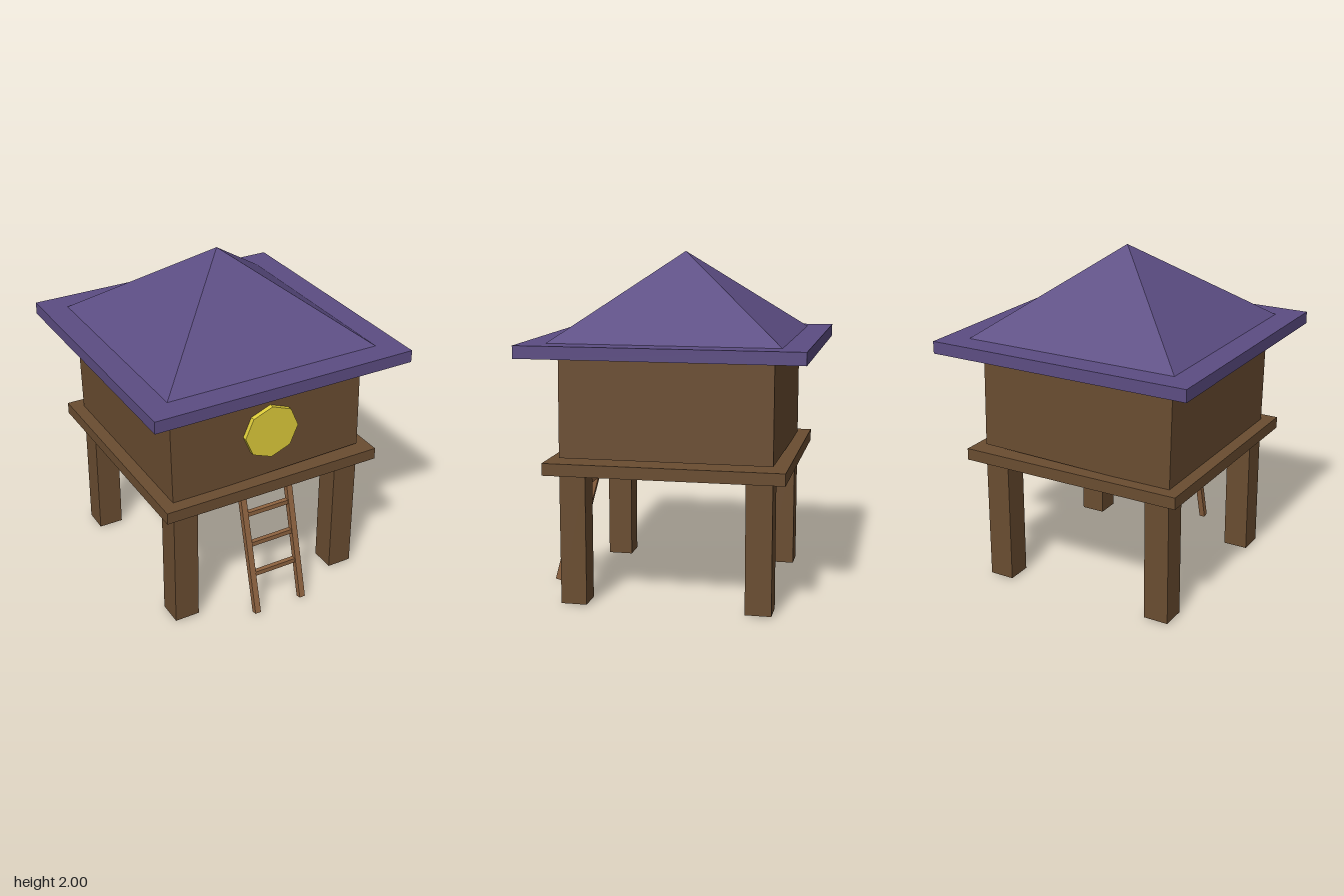
import * as THREE from 'three';

const mat = (name, color) => {
  const m = new THREE.MeshStandardMaterial({ color });
  m.name = name;
  return m;
};

export function createModel() {
  const wood = mat('dark wood', 0x6a4d31);
  const ladderWood = mat('light wood', 0x8e6340);
  const roofPaint = mat('purple roof', 0x5c4d83);
  const glow = mat('yellow window', 0xdecc3a);

  const model = new THREE.Group();
  model.name = 'stiltHut';

  const add = (name, geometry, material, x, y, z, parent = model) => {
    const mesh = new THREE.Mesh(geometry, material);
    mesh.name = name;
    mesh.position.set(x, y, z);
    parent.add(mesh);
    return mesh;
  };
  const box = (name, w, h, d, material, x, y, z, parent) =>
    add(name, new THREE.BoxGeometry(w, h, d), material, x, y, z, parent);

  // Four stilts and the deck they carry
  for (const x of [-1, 1])
    for (const z of [-1, 1])
      box('stilt', 0.15, 0.765, 0.15, wood, x * 0.532, 0.39, z * 0.532);
  box('deck', 1.37, 0.07, 1.37, wood, 0, 0.806, 0);

  // Cabin, leaning very slightly to one side
  const cabin = box('cabin', 1.215, 0.61, 1.215, wood, -0.009, 1.151, 0);
  cabin.rotation.z = 0.021;

  // Eaves slab and pyramid roof
  box('eaves', 1.6, 0.072, 1.6, roofPaint, 0, 1.476, 0);
  const pyramid = new THREE.ConeGeometry(0.655 * Math.SQRT2, 0.488, 4).rotateY(Math.PI / 4).toNonIndexed();
  pyramid.computeVertexNormals();
  add('roof', pyramid, roofPaint, 0, 1.756, 0);

  // Octagonal window
  const pane = new THREE.CylinderGeometry(0.17, 0.17, 0.06, 8).rotateX(Math.PI / 2).toNonIndexed();
  pane.scale(1, 0.95, 1);
  pane.computeVertexNormals();
  add('window', pane, glow, 0, 1.13, 0.605);

  // Ladder leaning against the deck
  const ladder = new THREE.Group();
  ladder.name = 'ladder';
  model.add(ladder);
  const lean = 0.262;
  for (const side of [-1, 1]) {
    const rail = box('ladderRail', 0.036, 0.87, 0.036, ladderWood, side * 0.153, 0.425, 0.65, ladder);
    rail.rotation.x = -lean;
  }
  for (let i = 0; i < 3; i++) {
    const y = 0.24 + i * 0.18;
    box('ladderRung', 0.29, 0.028, 0.028, ladderWood, 0, y, 0.65 - (y - 0.425) * Math.tan(lean) - 0.004, ladder);
  }

  return model;
}
